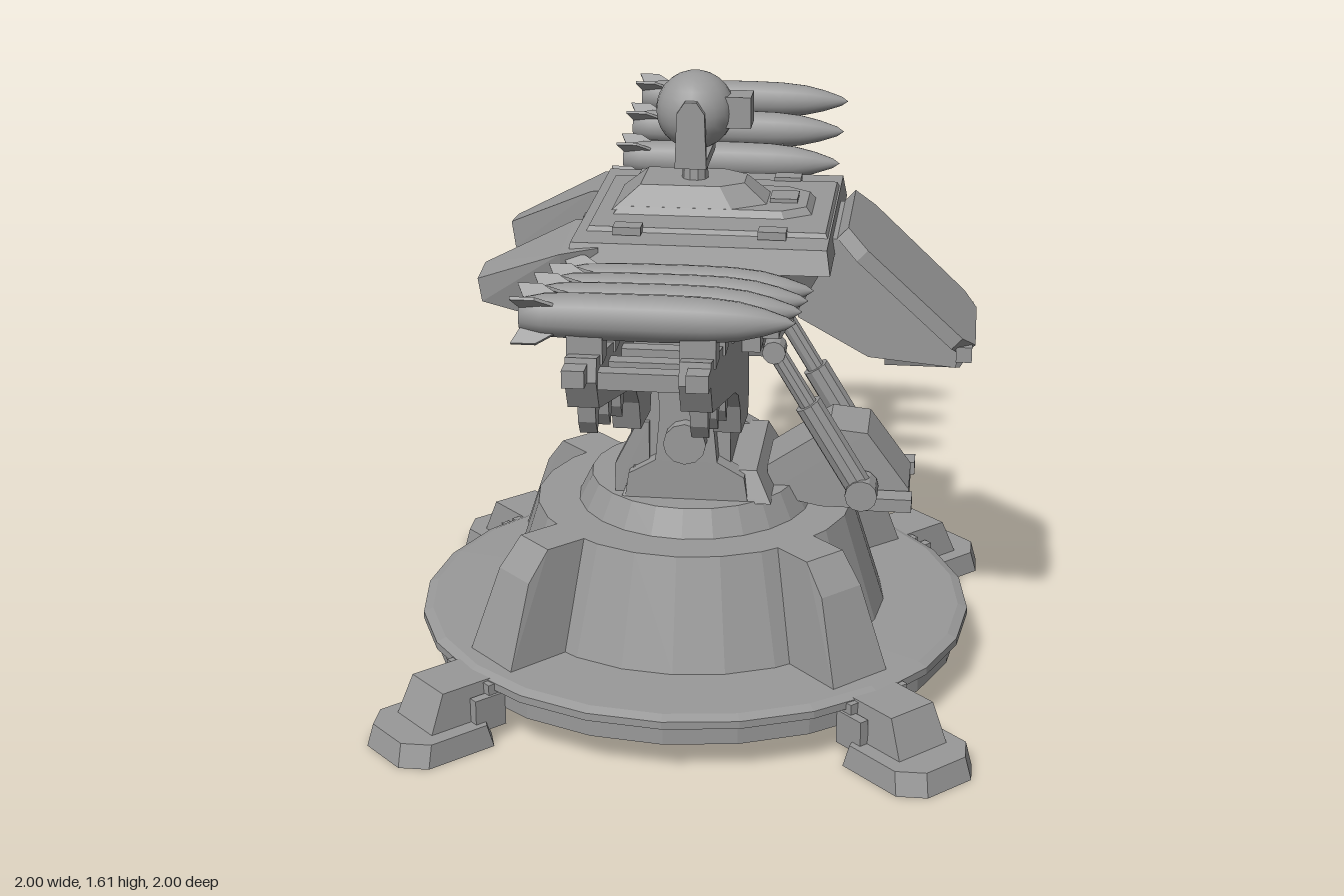
import * as THREE from 'three';
import { ConvexGeometry } from 'three/addons/geometries/ConvexGeometry.js';

const GREY = 0x999999;
const flat = new THREE.MeshStandardMaterial({ color: GREY, flatShading: true, side: THREE.DoubleSide });
const smooth = new THREE.MeshStandardMaterial({ color: GREY, side: THREE.DoubleSide });
const V = (x, y, z) => new THREE.Vector3(x, y, z);
const SIDES = [-1, 1];

function add(parent, name, geo, pos = [0, 0, 0], mat = flat) {
  const mesh = new THREE.Mesh(geo, mat);
  mesh.name = name;
  mesh.position.set(...pos);
  parent.add(mesh);
  return mesh;
}
const box = (p, name, w, h, d, pos) => add(p, name, new THREE.BoxGeometry(w, h, d), pos);
const shapeOf = pts => new THREE.Shape(pts.map(([x, y]) => new THREE.Vector2(x, y)));

// Slab with a (u, y) outline, thickness centred on zero
function slab(pts, width) {
  return new THREE.ExtrudeGeometry(shapeOf(pts), { depth: width, bevelEnabled: false }).translate(0, 0, -width / 2);
}
// Same, with the outline in (z, y) and the thickness along x
const sideSlab = (pts, width) => slab(pts, width).rotateY(-Math.PI / 2);
// Solid between two (x, z) outlines at heights y0 and y1
const frustum = (y0, low, y1, high) =>
  new ConvexGeometry([...low.map(([x, z]) => V(x, y0, z)), ...high.map(([x, z]) => V(x, y1, z))]);
const rect = (x, z0, z1) => [[-x, z0], [x, z0], [x, z1], [-x, z1]];
const lathe = (pts, n) => new THREE.LatheGeometry(pts.map(([r, y]) => new THREE.Vector2(r, y)), n);

// Cylinder between two points
function rod(parent, name, a, b, r, n = 10) {
  const dir = b.clone().sub(a);
  const mesh = add(parent, name, new THREE.CylinderGeometry(r, r, dir.length(), n), a.clone().add(b).multiplyScalar(0.5).toArray());
  mesh.quaternion.setFromUnitVectors(V(0, 1, 0), dir.normalize());
}
const pin = (p, name, r, len, pos, n = 12) =>
  add(p, name, new THREE.CylinderGeometry(r, r, len, n).rotateZ(Math.PI / 2), pos);

function buildBase() {
  const base = new THREE.Group();
  base.name = 'base';
  // Drum with a recessed underside and a hollow hub
  add(base, 'baseDrum', lathe([
    [0, 0.42], [0.36, 0.42], [0.36, 0.09], [0.38, 0.085], [0.46, 0.12], [0.46, 0.15], [0.67, 0.15], [0.68, 0.08], [0.71, 0.08],
    [0.71, 0.13], [0.735, 0.135], [0.735, 0.155], [0.71, 0.165], [0.51, 0.17], [0.42, 0.455],
    [0.31, 0.455], [0.275, 0.525], [0, 0.525],
  ], 24));
  for (let i = 0; i < 4; i++) {
    const side = new THREE.Group();
    side.name = 'baseSide';
    side.rotation.y = i * Math.PI / 2;
    base.add(side);
    // Buttress on the drum
    add(side, 'buttress', new ConvexGeometry(SIDES.flatMap(s => [
      V(s * 0.09, 0.16, 0.67), V(s * 0.065, 0.38, 0.59), V(s * 0.06, 0.455, 0.525),
      V(s * 0.06, 0.455, 0.40), V(s * 0.09, 0.16, 0.42)])));
    // Foot with its chamfered pad
    const pad = (g, x, c) => [[-x + c, 0.72 + g], [x - c, 0.72 + g], [x, 0.75 + g], [x, 1 - g - c],
      [x - c, 1 - g], [c - x, 1 - g], [-x, 1 - g - c], [-x, 0.75 + g]];
    add(side, 'footPad', frustum(0, pad(0, 0.128, 0.055), 0.06, pad(0.015, 0.12, 0.055)));
    add(side, 'footLeg', frustum(0.055, rect(0.08, 0.69, 0.905), 0.158, rect(0.07, 0.66, 0.86)));
    box(side, 'footClamp', 0.19, 0.075, 0.07, [0, 0.115, 0.705]);
    for (const s of SIDES) box(side, 'footLug', 0.025, 0.09, 0.09, [s * 0.09, 0.08, 0.74]);
  }
  return base;
}

function buildMissile() {
  const missile = new THREE.Group();
  missile.name = 'missile';
  const body = lathe([[0, -0.27], [0.036, -0.27], [0.048, -0.22], [0.052, -0.13], [0.053, 0.05], [0.051, 0.14],
    [0.044, 0.21], [0.031, 0.265], [0.014, 0.315], [0, 0.335]], 14).rotateX(Math.PI / 2);
  add(missile, 'missileBody', body, undefined, smooth);
  for (let i = 0; i < 4; i++) {
    const fin = add(missile, 'tailFin', sideSlab([[-0.18, 0.04], [-0.23, 0.074], [-0.285, 0.074], [-0.26, 0.02]], 0.008));
    fin.rotation.z = Math.PI / 4 + i * Math.PI / 2;
  }
  return missile;
}

function buildRack(s) {
  const rack = new THREE.Group();
  rack.name = s > 0 ? 'leftRack' : 'rightRack';
  const topY = x => 1.065 + (x - 0.3) * 0.2;
  const lowY = x => 0.94 + (x - 0.5) * 0.28;
  const outline = [[0.2, 1.08], [0.3, topY(0.3)], [1.09, topY(1.09)], [1.1, 1.17], [1.06, lowY(1.06)],
    [0.56, lowY(0.56)], [0.48, 0.92], [0.43, 0.87], [0.4, 0.79], [0.22, 0.77], [0.2, 0.82]];
  for (const z of SIDES) {
    add(rack, 'rail', slab(outline.map(([x, y]) => [s * x, y]), 0.07), [0, 0, z * 0.125]);
    // Hooks under the rail
    for (const x of [0.6, 0.79, 0.98]) {
      const y = lowY(x);
      add(rack, 'railHook', slab([[x - 0.035, y + 0.02], [x + 0.045, y + 0.03], [x + 0.035, y - 0.03], [x + 0.01, y - 0.065]]
        .map(([u, v]) => [s * u, v]), 0.04), [0, 0, z * 0.125]);
    }
    box(rack, 'railTip', 0.05, 0.04, 0.05, [s * 1.115, 1.19, z * 0.135]);
    box(rack, 'rackBracket', 0.1, 0.06, 0.05, [s * 0.34, 1.03, z * 0.18]);
  }
  for (const x of [0.5, 0.7, 0.9, 1.06]) box(rack, 'crossBar', 0.04, 0.04, 0.24, [s * x, topY(x) - 0.05, 0]);
  box(rack, 'rackRoot', 0.14, 0.12, 0.24, [s * 0.3, 0.98, 0]);
  // Missiles on their cradles, each higher than the last
  for (let i = 0; i < 4; i++) {
    const x = 0.41 + i * 0.198, y = 1.17 + i * 0.04;
    const missile = buildMissile();
    missile.position.set(s * x, y, 0);
    rack.add(missile);
    for (const z of SIDES) box(rack, 'cradle', 0.07, 0.08, 0.08, [s * x, y - 0.06, z * 0.125]);
  }
  return rack;
}

function buildHead() {
  const head = new THREE.Group();
  head.name = 'sensorHead';
  const hex = (x, z) => [[-x, -z], [x, -z], [x, z * 0.55], [x * 0.5, z], [-x * 0.5, z], [-x, z * 0.55]];
  add(head, 'headBase', frustum(1.27, hex(0.12, 0.2), 1.33, hex(0.085, 0.13)));
  add(head, 'headNeck', new THREE.CylinderGeometry(0.03, 0.035, 0.07, 10), [0, 1.355, 0]);
  box(head, 'headYoke', 0.2, 0.025, 0.08, [0, 1.39, 0]);
  add(head, 'headBall', new THREE.SphereGeometry(0.1, 20, 14), [0, 1.507, 0], smooth);
  for (const s of SIDES) {
    add(head, 'yokeArm', sideSlab([[-0.04, 1.38], [0.04, 1.38], [0.035, 1.52], [0.015, 1.55], [-0.015, 1.55], [-0.035, 1.52]], 0.02), [s * 0.1, 0, 0]);
  }
  box(head, 'lensBox', 0.08, 0.08, 0.07, [0, 1.51, 0.11]);
  return head;
}

function buildTurret() {
  const turret = new THREE.Group();
  turret.name = 'turret';
  turret.rotation.y = Math.PI / 4;

  // Pedestal and pivots
  add(turret, 'pedestalFoot', frustum(0.52, rect(0.21, -0.17, 0.22), 0.6, rect(0.18, -0.14, 0.18)));
  box(turret, 'pedestalCore', 0.32, 0.5, 0.22, [0, 0.8, 0]);
  box(turret, 'rearPanelFrame', 0.32, 0.2, 0.12, [0, 0.87, -0.17]);
  box(turret, 'rearPanel', 0.24, 0.15, 0.02, [0, 0.87, -0.235]);
  for (const s of SIDES) {
    add(turret, 'pivotCheek', sideSlab([[-0.16, 0.52], [0.16, 0.52], [0.15, 0.59], [0.08, 0.63], [0.07, 0.74], [0.07, 1], [-0.07, 1],
      [-0.07, 0.74], [-0.08, 0.63], [-0.15, 0.59]], 0.06), [s * 0.18, 0, 0]);
    pin(turret, 'pivotBoss', 0.055, 0.05, [s * 0.22, 0.69, 0]);
    add(turret, 'rearPost', sideSlab([[-0.19, 0.52], [-0.1, 0.52], [-0.1, 0.72], [-0.13, 0.72], [-0.19, 0.6]], 0.05), [s * 0.15, 0, 0]);
  }

  // Hull, deck and rear horns
  add(turret, 'hull', frustum(0.97, rect(0.2, -0.24, 0.24), 1.2, rect(0.33, -0.27, 0.35)));
  add(turret, 'deck', frustum(1.19, rect(0.36, -0.28, 0.37), 1.25, rect(0.34, -0.27, 0.36)));
  add(turret, 'deckCentre', frustum(1.24, rect(0.245, -0.25, 0.36), 1.262, rect(0.235, -0.24, 0.35)));
  add(turret, 'deckHatch', frustum(1.255, [[-0.13, -0.2], [0.13, -0.2], [0.13, 0.24], [0.08, 0.31], [-0.08, 0.31], [-0.13, 0.24]],
    1.28, [[-0.115, -0.18], [0.115, -0.18], [0.115, 0.23], [0.07, 0.29], [-0.07, 0.29], [-0.115, 0.23]]));
  box(turret, 'hatchWindow', 0.08, 0.02, 0.07, [0, 1.28, 0.23]);
  for (const s of SIDES) {
    for (const z of [-0.14, 0.22]) box(turret, 'deckHinge', 0.05, 0.02, 0.07, [s * 0.25, 1.262, z]);
    add(turret, 'rearHorn', new ConvexGeometry([
      [0.13, 1.25, -0.2], [0.35, 1.24, -0.2], [0.13, 1, -0.2], [0.3, 1, -0.2],
      [0.13, 1.245, -0.29], [0.38, 1.23, -0.29], [0.14, 1, -0.28], [0.33, 1.03, -0.28],
      [0.18, 1.14, -0.515], [0.285, 1.13, -0.515], [0.18, 1.07, -0.505], [0.285, 1.07, -0.505],
    ].map(([x, y, z]) => V(s * x, y, z))));
    box(turret, 'frontBox', 0.08, 0.04, 0.09, [s * 0.29, 1.035, 0.2]);
  }
  for (let i = -1; i <= 1; i++) {
    add(turret, 'exhaustSlat', sideSlab([[-0.24, 1.22], [-0.3, 1.2], [-0.33, 1.03], [-0.24, 1.02]], 0.035), [i * 0.065, 0, 0]);
  }
  // Curved ledge under the exhaust
  const ledge = new THREE.Shape();
  ledge.absarc(0, 0, 0.37, Math.PI * 0.28, Math.PI * 0.72);
  ledge.absarc(0, 0, 0.22, Math.PI * 0.72, Math.PI * 0.28, true);
  add(turret, 'rearLedge', new THREE.ExtrudeGeometry(ledge, { depth: 0.03, bevelEnabled: false, curveSegments: 8 })
    .rotateX(-Math.PI / 2), [0, 0.98, 0]);

  // Sloping front shield
  add(turret, 'shieldBody', sideSlab([[0.28, 1.22], [0.38, 1.23], [0.69, 0.96], [0.68, 0.9], [0.46, 0.92], [0.28, 1.02]], 0.34));
  const plate = slab([[-0.17, 0.22], [0.17, 0.22], [0.205, 0.15], [0.195, -0.18], [0.15, -0.225], [-0.15, -0.225], [-0.195, -0.18], [-0.205, 0.15]], 0.04);
  add(turret, 'shieldPlate', plate, [0, 1.095, 0.55]).rotation.x = -0.82;
  add(turret, 'shieldLip', frustum(0.89, rect(0.14, 0.5, 0.69), 0.95, rect(0.16, 0.5, 0.72)));
  for (const s of SIDES) box(turret, 'shieldLug', 0.03, 0.04, 0.04, [s * 0.17, 0.94, 0.7]);

  // Rams and their front bracket
  add(turret, 'ramBracket', sideSlab([[0.2, 0.5], [0.34, 0.47], [0.57, 0.47], [0.57, 0.53], [0.46, 0.68], [0.36, 0.69], [0.2, 0.58]], 0.18));
  for (const s of SIDES) {
    const top = V(s * 0.14, 0.92, 0.22), low = V(s * 0.14, 0.54, 0.45), mid = low.clone().lerp(top, 0.62);
    rod(turret, 'ramBarrel', low, mid, 0.036);
    rod(turret, 'ramRod', mid, top, 0.024);
    pin(turret, 'ramTopPin', 0.03, 0.06, top.toArray());
    pin(turret, 'ramLowPin', 0.042, 0.08, low.toArray());
    box(turret, 'ramFoot', 0.06, 0.035, 0.12, [s * 0.13, 0.51, 0.52]);
    turret.add(buildRack(s));
  }
  turret.add(buildHead());
  return turret;
}

export function createModel() {
  const model = new THREE.Group();
  model.name = 'missileTurret';
  model.add(buildBase(), buildTurret());
  return model;
}
